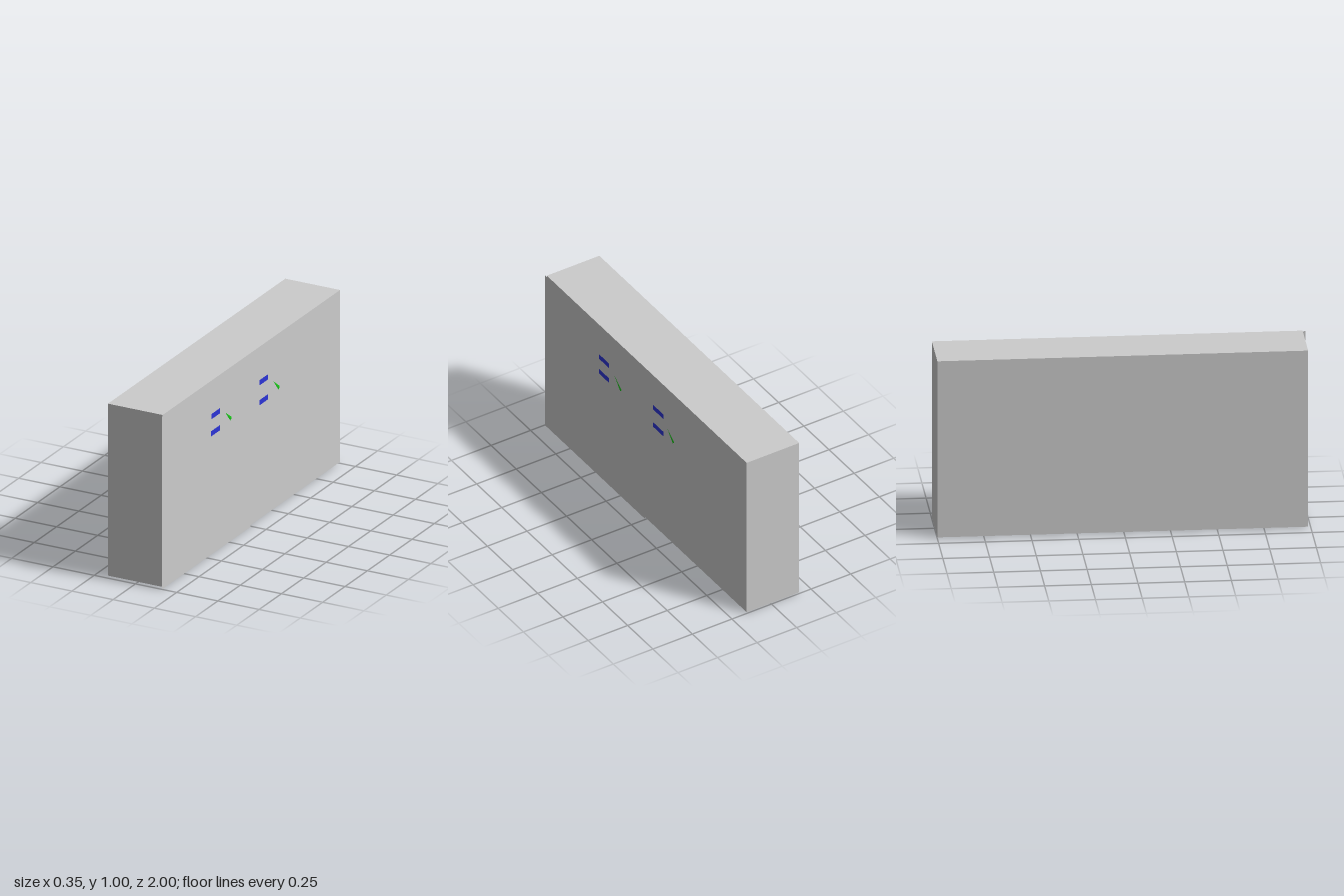
import * as THREE from 'three';

export function createModel() {
  const group = new THREE.Group();
  const mat = (color, extra = {}) => new THREE.MeshStandardMaterial({ color, ...extra });
  const grey = mat(0xcccccc, { side: THREE.DoubleSide });
  const blue = mat(0x2c34d6, { side: THREE.DoubleSide });
  const green = mat(0x18c818, { side: THREE.DoubleSide, flatShading: true });

  const add = (name, geometry, material, x, y, z) => {
    const mesh = new THREE.Mesh(geometry, material);
    mesh.name = name;
    mesh.position.set(x, y, z);
    group.add(mesh);
    return mesh;
  };
  // Flat sheet facing +x
  const sheet = (name, material, x, y, z, depth, height) =>
    add(name, new THREE.PlaneGeometry(depth, height).rotateY(Math.PI / 2), material, x, y, z);

  // Main slab
  add('body', new THREE.BoxGeometry(0.332, 0.992, 1.985), grey, -0.009, 0.504, -0.0075);

  // Thin panel over the front half of the left side
  sheet('sidePanel', grey, 0.16, 0.4975, 0.5025, 0.995, 0.995);

  // Blue bars, two per half: [y, z]
  for (const [y, z] of [[0.798, 0.404], [0.7, 0.406], [0.798, -0.133], [0.683, -0.133]])
    sheet('bar', blue, 0.164, y, z, 0.1, 0.03);

  // Green pointers: slim flattened cones, tip up and toward the front
  for (const [x, y, z, name] of [
    [0.165, 0.738, 0.268, 'frontPointer'],
    [0.17, 0.725, -0.262, 'rearPointer'],
  ]) {
    const cone = new THREE.ConeGeometry(0.011, 0.086, 4).scale(0.25, 1, 1);
    add(name, cone, green, x, y, z).rotation.x = 0.82;
  }
  return group;
}
